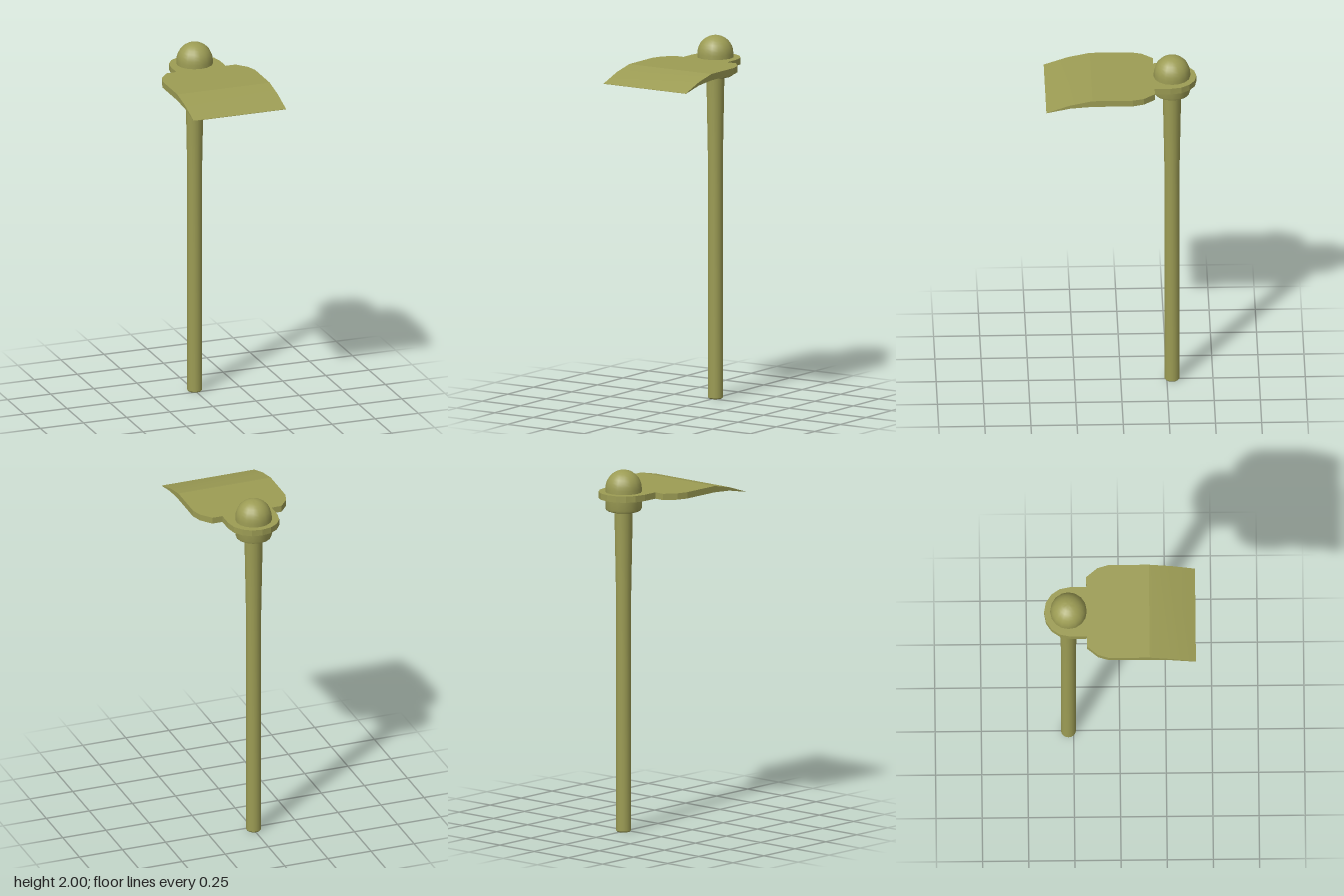
import * as THREE from 'three';
import { toCreasedNormals } from 'three/addons/utils/BufferGeometryUtils.js';

const material = new THREE.MeshStandardMaterial({ color: 0x9c9c54 });
const AXIS_Z = -0.278; // handle and head share this axis

function part(name, geometry, crease) {
  const mesh = new THREE.Mesh(toCreasedNormals(geometry, crease), material);
  mesh.name = name;
  return mesh;
}

function turned(name, profile) {
  const points = profile.map(([r, y]) => new THREE.Vector2(r, y));
  const mesh = part(name, new THREE.LatheGeometry(points, 16), 0.6);
  mesh.position.z = AXIS_Z;
  return mesh;
}

// Closed loft through rectangular sections: [z, half width, top, bottom]
function loft(sections) {
  const positions = [];
  const index = [];
  for (const [z, w, top, bottom] of sections) {
    positions.push(-w, bottom, z, w, bottom, z, w, top, z, -w, top, z);
  }
  for (let i = 0; i < sections.length - 1; i++) {
    for (let j = 0; j < 4; j++) {
      const a = i * 4 + j;
      const b = i * 4 + ((j + 1) % 4);
      // skip the zero-area top and bottom where the outline steps outward
      if (sections[i][0] === sections[i + 1][0] && j % 2 === 0) continue;
      index.push(a, b, b + 4, a, b + 4, a + 4);
    }
  }
  const geometry = new THREE.BufferGeometry();
  geometry.setAttribute('position', new THREE.Float32BufferAttribute(positions, 3));
  geometry.setIndex(index);
  return geometry;
}

export function createModel() {
  const group = new THREE.Group();
  group.name = 'hoe';

  // Handle: straight shaft flaring gently towards the head
  group.add(turned('handle', [
    [0, 0], [0.036, 0], [0.041, 0.006], [0.041, 1.3], [0.05, 1.78],
  ]));

  // Head: collar below the blade, rising into a domed cap
  const head = [[0, 1.775], [0.085, 1.775], [0.095, 1.78], [0.099, 1.79], [0.099, 1.9]];
  for (let i = 1; i <= 8; i++) {
    const a = (i / 8) * Math.PI / 2;
    head.push([0.099 * Math.cos(a), 1.9 + 0.1 * Math.sin(a)]);
  }
  group.add(turned('domedHead', head));

  // Blade: rounded eye, shoulders, flat plate, then a tapering cutting edge
  const T = 1.88, B = 1.845;
  const outline = [
    [-0.41, 0], [-0.4, 0.055], [-0.37, 0.1], [-0.325, 0.131], [-0.265, 0.143],
    [-0.18, 0.143], [-0.18, 0.2], [-0.12, 0.25], [-0.06, 0.268], [0.16, 0.268],
  ].map(([z, w]) => [z, w, T, B]);
  outline.push([0.28, 0.268, 1.855, 1.836], [0.41, 0.268, 1.811, 1.809]);
  const blade = loft(outline);
  // close the cutting edge
  const n = (outline.length - 1) * 4;
  blade.setIndex([...blade.index.array, n, n + 1, n + 2, n, n + 2, n + 3]);
  group.add(part('blade', blade, 0.17));

  return group;
}
